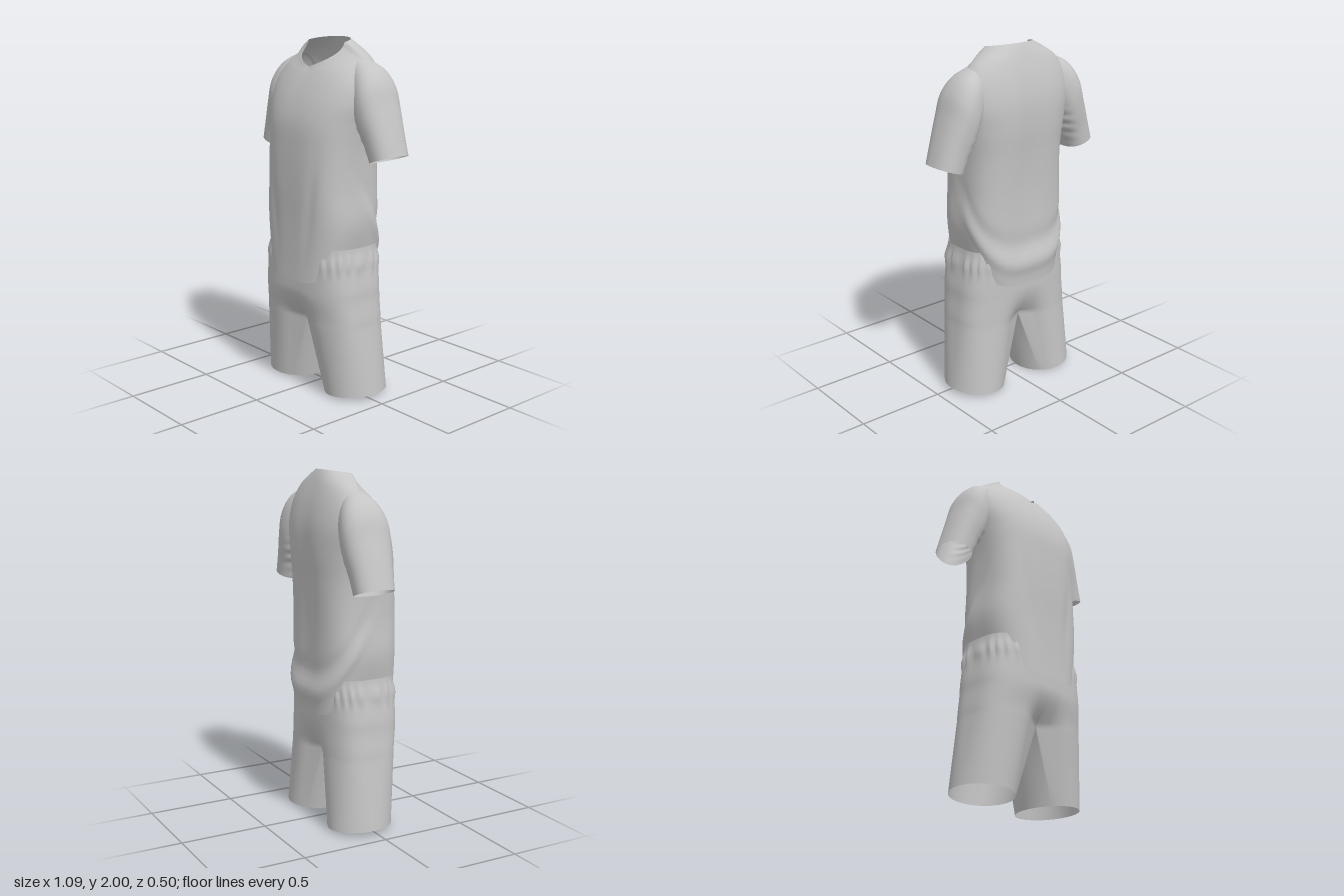
import * as THREE from 'three';
import { mergeGeometries, mergeVertices } from 'three/addons/utils/BufferGeometryUtils.js';

const V = (x, y, z) => new THREE.Vector3(x, y, z);
const lerp = THREE.MathUtils.lerp;
const gauss = (d, s) => Math.exp(-(d * d) / (s * s));
const spow = (v, p) => Math.sign(v) * Math.pow(Math.abs(v), p);

// Skin a list of rings (bottom to top) with quads
function skin(rings, closed) {
  const n = rings[0].length, pos = [], index = [];
  rings.forEach(r => r.forEach(p => pos.push(p.x, p.y, p.z)));
  for (let i = 0; i < rings.length - 1; i++) {
    for (let j = 0; j < (closed ? n : n - 1); j++) {
      const a = i * n + j, b = i * n + (j + 1) % n;
      index.push(a, a + n, b, b, a + n, b + n);
    }
  }
  const g = new THREE.BufferGeometry();
  g.setAttribute('position', new THREE.Float32BufferAttribute(pos, 3));
  g.setIndex(index);
  g.computeVertexNormals();
  return g;
}

// Add smooth in-between rings by running a spline up every column
function refine(rings, steps) {
  const cols = rings[0].map((_, j) =>
    new THREE.CatmullRomCurve3(rings.map(r => r[j])).getPoints(steps));
  return cols[0].map((_, i) => cols.map(c => c[i]));
}

// Smooth lookup in a table of [y, ...values]
function sample(table, y) {
  let i = 0;
  while (i < table.length - 2 && y > table[i + 1][0]) i++;
  const t = THREE.MathUtils.smoothstep(y, table[i][0], table[i + 1][0]);
  return table[i].map((v, k) => lerp(v, table[i + 1][k], t));
}

// Shirt body, hem to neckline
function shirtBody() {
  // half width, front z, back z, middle z, roundness, y at front, side, back
  const rows = [
    [0.28, 0.25, -0.235, 0, 0.65, 0.66, 0.78, 0.645],
    [0.295, 0.247, -0.24, 0, 0.65, 0.76, 0.85, 0.75],
    [0.32, 0.245, -0.225, 0, 0.65, 1, 1, 1],
    [0.31, 0.248, -0.225, 0, 0.65, 1.2, 1.2, 1.2],
    [0.315, 0.245, -0.235, 0, 0.7, 1.4, 1.4, 1.4],
    [0.335, 0.235, -0.245, -0.02, 0.75, 1.55, 1.55, 1.56],
    [0.36, 0.205, -0.24, -0.04, 0.8, 1.66, 1.68, 1.7],
    [0.35, 0.165, -0.215, -0.05, 0.85, 1.75, 1.79, 1.82],
    [0.29, 0.13, -0.18, -0.05, 0.9, 1.81, 1.885, 1.92],
    [0.21, 0.112, -0.155, -0.03, 1, 1.835, 1.945, 1.975],
    [0.15, 0.105, -0.14, -0.02, 1, 1.845, 1.98, 2],
  ];
  const n = 112;
  const rings = rows.map(([w, zf, zb, zc, p, yf, ys, yb]) =>
    Array.from({ length: n }, (_, j) => {
      const a = j / n * Math.PI * 2, c = Math.cos(a), s = Math.sin(a);
      const m = Math.abs(s), vee = Math.pow(Math.asin(Math.min(1, m)) / (Math.PI / 2), 0.6);
      const y = s > 0 ? lerp(ys, yf, yf > 1.6 ? vee : m) : lerp(ys, yb, m);
      return V(w * spow(c, p), y, zc + (s > 0 ? zf - zc : zc - zb) * spow(s, p));
    }));
  const fine = refine(rings, 80);
  fine.forEach(r => r.forEach(q => {
    // sagging fold sweeping from the sides down round the back
    const t = THREE.MathUtils.clamp((q.z + 0.25) / 0.33, 0, 1);
    const fold = 0.016 * gauss(q.y - (0.76 + 0.5 * t), 0.05) * (1 - t);
    const tuck = 0.012 * gauss(q.y - (0.86 + 0.5 * t), 0.05) * (1 - t);
    const len = Math.hypot(q.x, q.z) || 1;
    const k = 1 + (fold - tuck) / len;
    q.x *= k; q.z *= k;
    // hollow along the spine
    if (q.z < 0) q.z += 0.014 * gauss(q.x, 0.09) * gauss(q.y - 1.35, 0.45);
    // soft drape lines on the front
    else q.z -= 0.008 * gauss(Math.abs(q.x) - (0.12 + 0.12 * (q.y - 0.8)), 0.035) * gauss(q.y - 1.1, 0.25);
  }));
  return skin(fine, true);
}

// Left sleeve, cuff to shoulder cap
function sleeve() {
  // outer x, y, inner x, y, front z, back z
  const rows = [
    [0.545, 1.4, 0.38, 1.345, 0.05, -0.175],
    [0.508, 1.52, 0.347, 1.425, 0.06, -0.182],
    [0.462, 1.66, 0.315, 1.49, 0.075, -0.195],
    [0.422, 1.775, 0.285, 1.56, 0.08, -0.2],
    [0.36, 1.852, 0.25, 1.64, 0.06, -0.185],
    [0.26, 1.9, 0.19, 1.72, 0.02, -0.14],
  ];
  const n = 56;
  const rings = rows.map(([ox, oy, ix, iy, zf, zb]) =>
    Array.from({ length: n }, (_, j) => {
      const a = j / n * Math.PI * 2, t = (1 + spow(Math.cos(a), 0.85)) / 2;
      return V(lerp(ix, ox, t), lerp(iy, oy, t), (zf + zb) / 2 + (zf - zb) / 2 * spow(Math.sin(a), 0.85));
    }));
  const fine = refine(rings, 32);
  // small creases gathered at the armpit
  fine.forEach(r => r.forEach((q, j) => {
    const inner = Math.max(0, -Math.cos(j / n * Math.PI * 2));
    q.x += 0.006 * inner * Math.sin(q.y * 110) * gauss(q.y - 1.5, 0.09);
  }));
  return skin(fine, true);
}

// Left half of the shorts: leg below the crotch, hip panel above it
function shortsHalf() {
  const crotch = 0.42, half = 48, innerN = 24, corner = 130 * Math.PI / 180;
  // y, half width, front z, back z
  const hips = [[0.42, 0.372, 0.215, -0.21], [0.6, 0.357, 0.235, -0.21],
    [0.76, 0.342, 0.235, -0.21], [0.87, 0.325, 0.222, -0.205]];
  const hem = a => V(0.25 + 0.168 * Math.cos(a), 0.0125 + 0.0125 * Math.cos(a), -0.025 + 0.185 * Math.sin(a));
  const hip = (u, y) => {
    const [, w, zf, zb] = sample(hips, y);
    const a = u * Math.PI / 2, s = Math.sin(a), x = w * Math.pow(Math.max(0, Math.cos(a)), 0.65);
    const dip = 0.085 * Math.pow(Math.max(0, 1 - (y - crotch) / 0.2), 2) * gauss(x, 0.1);
    // gathers of the waistband
    const gather = 1 + 0.025 * Math.sin(u * 42) * gauss(y - 0.78, 0.05);
    const z = (s > 0 ? zf : -zb) * spow(s, 0.65);
    return V(x * gather, y, (z - Math.sign(s) * dip) * gather);
  };
  const us = Array.from({ length: half + 1 }, (_, j) => j / half * 2 - 1);
  const outer = [], inner = [];
  for (let i = 0; i <= 20; i++) {
    const t = i / 20;
    outer.push(us.map(u => hem(u * corner).lerp(hip(u, crotch), t)));
    const f = hip(1, crotch), b = hip(-1, crotch);
    inner.push(Array.from({ length: innerN + 1 }, (_, j) => {
      const v = j / innerN, top = f.clone().lerp(b, v);
      top.y -= 0.05 * Math.sin(Math.PI * v);
      return hem(lerp(corner, 2 * Math.PI - corner, v)).lerp(top, t);
    }));
  }
  for (let i = 1; i <= 26; i++) outer.push(us.map(u => hip(u, lerp(crotch, 0.87, i / 26))));
  const g = mergeGeometries([skin(outer, false), skin(inner, false)]);
  g.deleteAttribute('normal');
  const welded = mergeVertices(g, 1e-4);
  welded.computeVertexNormals();
  return welded;
}

export function createModel() {
  const cloth = new THREE.MeshStandardMaterial({ color: 0xc4c4c4, side: THREE.DoubleSide });
  cloth.name = 'light grey cloth';
  const model = new THREE.Group();
  model.name = 'shirtAndShorts';
  const add = (geometry, name, mirror = 1) => {
    const mesh = new THREE.Mesh(geometry, cloth);
    mesh.name = name;
    mesh.scale.x = mirror;
    model.add(mesh);
  };
  add(shirtBody(), 'shirtBody');
  const sleeveGeo = sleeve(), shortsGeo = shortsHalf();
  for (const [side, m] of [['left', 1], ['right', -1]]) {
    add(sleeveGeo, side + 'Sleeve', m);
    add(shortsGeo, side + 'ShortsHalf', m);
  }
  return model;
}
